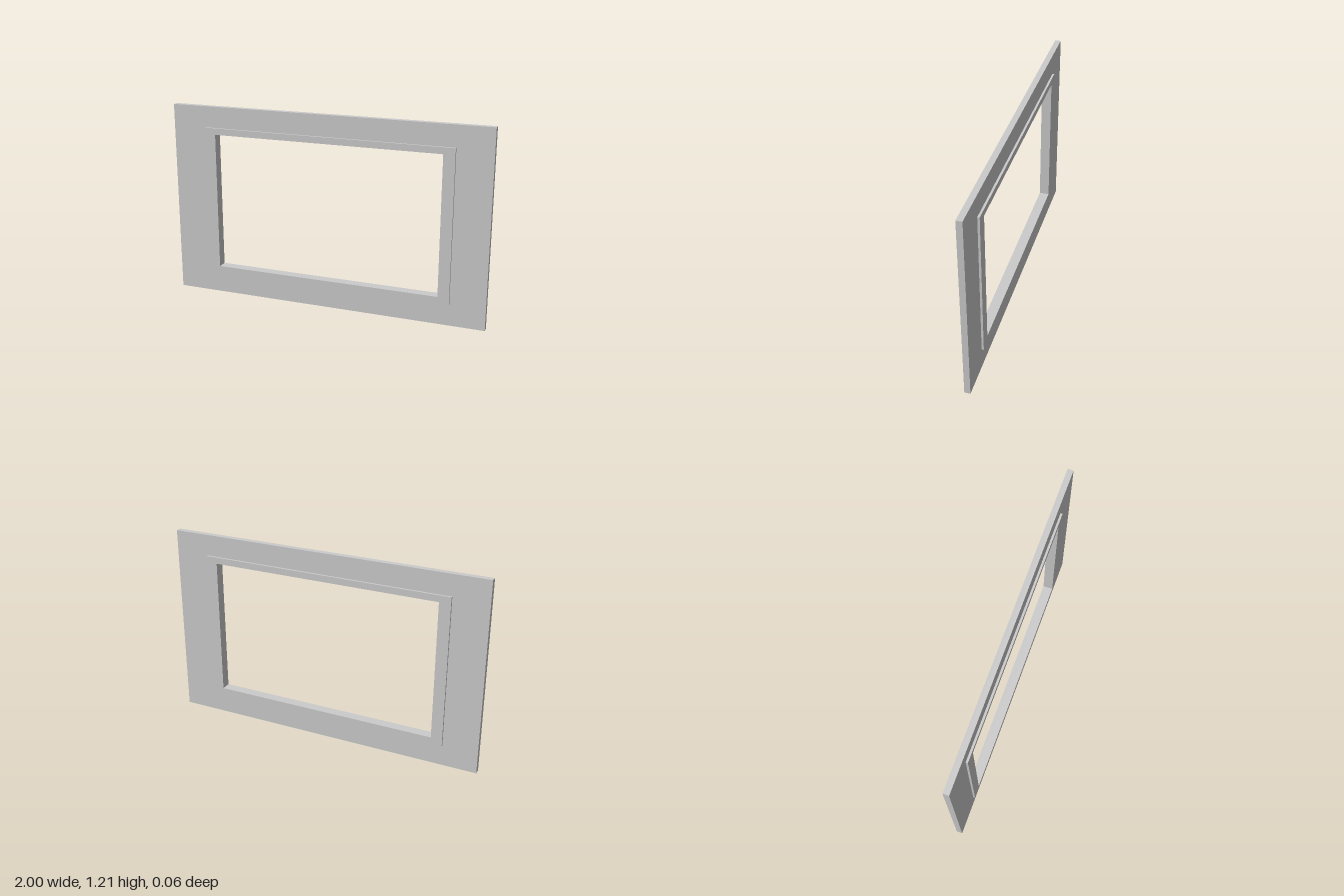
import * as THREE from 'three';

const material = new THREE.MeshStandardMaterial({ color: 0xcccccc, flatShading: true });

// Rectangle bounds: half width, bottom, top
const OUTER = [1, 0, 1.207];
const TRIM = [0.784, 0.135, 1.076];
const OPENING = [0.714, 0.177, 1.036];

function trace(path, [w, bottom, top]) {
  path.moveTo(-w, bottom);
  path.lineTo(w, bottom);
  path.lineTo(w, top);
  path.lineTo(-w, top);
  path.closePath();
  return path;
}

// Rectangular ring, centred on z = 0
function ring(name, outer, inner, depth) {
  const shape = trace(new THREE.Shape(), outer);
  shape.holes.push(trace(new THREE.Path(), inner));
  const geometry = new THREE.ExtrudeGeometry(shape, { depth, bevelEnabled: false });
  geometry.translate(0, 0, -depth / 2);
  const mesh = new THREE.Mesh(geometry, material);
  mesh.name = name;
  return mesh;
}

export function createModel() {
  const group = new THREE.Group();
  group.name = 'windowWall';
  // Thin wall panel around the window
  group.add(ring('wallPanel', OUTER, TRIM, 0.036));
  // Thicker frame, standing proud on both faces
  group.add(ring('windowFrame', TRIM, OPENING, 0.062));
  return group;
}
